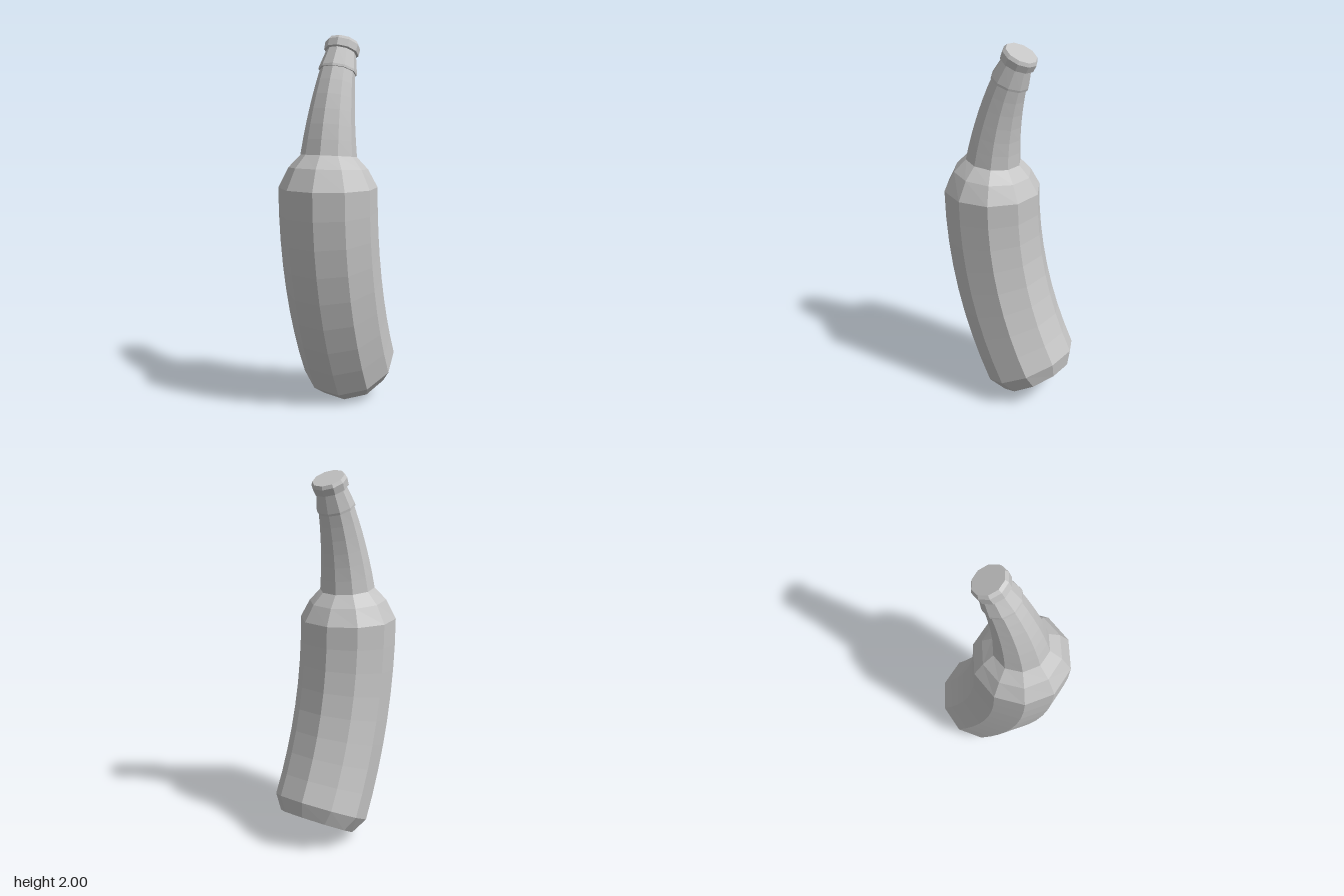
import * as THREE from 'three';

const SIDES = 10;
const SPINE = { x: -0.055, y: 1.21, z: 0.1 }; // spine point where the bottle stands upright
const LEAN = new THREE.Vector2(0.47, -0.883); // horizontal bend direction (x, z)

// Carries a point from a straight bottle (y = distance along spine) onto the bent spine
function bend(p) {
  const radius = p.y < 0 ? 2.2 : 1.67;
  const angle = p.y / radius;
  const along = p.x * LEAN.x + p.z * LEAN.y;
  const across = -p.x * LEAN.y + p.z * LEAN.x;
  const a = radius - (radius - along) * Math.cos(angle);
  const y = (radius - along) * Math.sin(angle);
  return p.set(
    SPINE.x + a * LEAN.x - across * LEAN.y,
    SPINE.y + y,
    SPINE.z + a * LEAN.y + across * LEAN.x
  );
}

// Faceted ring section from a profile of [radius, distance along spine], bottom to top
function section(name, profile, material) {
  const points = profile.map(([r, s]) => new THREE.Vector2(r, s));
  const lathe = new THREE.LatheGeometry(points, SIDES, Math.PI / 2);
  const position = lathe.attributes.position;
  const p = new THREE.Vector3();
  for (let i = 0; i < position.count; i++) {
    bend(p.fromBufferAttribute(position, i));
    position.setXYZ(i, p.x, p.y, p.z);
  }
  const geometry = lathe.toNonIndexed();
  geometry.computeVertexNormals();
  const mesh = new THREE.Mesh(geometry, material);
  mesh.name = name;
  return mesh;
}

// Straight taper divided into short steps so that it can bend
function taper(r0, s0, r1, s1, steps) {
  return Array.from({ length: steps + 1 }, (_, i) => {
    const t = i / steps;
    return [r0 + (r1 - r0) * t, s0 + (s1 - s0) * t];
  });
}

export function createModel() {
  const bottle = new THREE.Group();
  bottle.name = 'bentBottle';
  const grey = new THREE.MeshStandardMaterial({ color: 0xc4c4c4 });
  grey.name = 'light grey';

  bottle.add(
    // Flat bottom with its bevel
    section('base', [[0, -1.16], [0.208, -1.16], [0.262, -1.076]], grey),
    section('body', taper(0.262, -1.076, 0.262, 0, 8), grey),
    section('shoulder', [[0.262, 0], [0.21, 0.1], [0.149, 0.165]], grey),
    section('neck', taper(0.149, 0.165, 0.094, 0.62, 6), grey),
    // Thin lip, then the finish narrowing towards the cap
    section('collar', [[0.094, 0.613], [0.102, 0.613], [0.102, 0.625], [0.08, 0.725]], grey),
    section('cap', [[0.08, 0.722], [0.093, 0.726], [0.095, 0.765], [0.085, 0.783], [0, 0.783]], grey)
  );
  return bottle;
}
